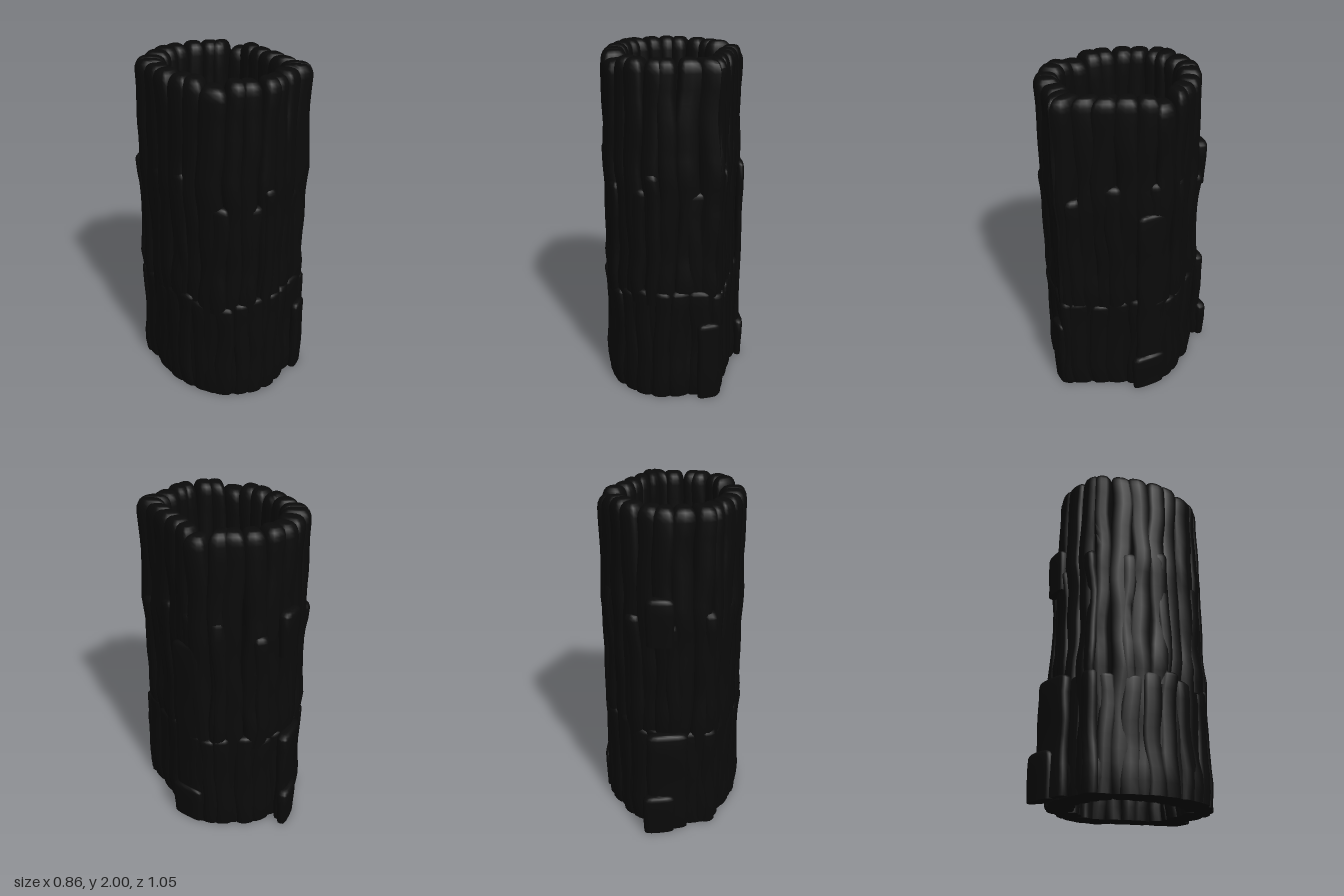
import * as THREE from 'three';
import { toCreasedNormals } from 'three/addons/utils/BufferGeometryUtils.js';

const bark = new THREE.MeshStandardMaterial({ color: 0x0a0a0a });
bark.name = 'charred bark';

// matching points (x, z) round the outer and inner faces of the hollow trunk
const outerPts = [[0, 0.515], [-0.12, 0.49], [-0.22, 0.44], [-0.33, 0.31], [-0.375, 0.19], [-0.405, 0.05],
  [-0.405, -0.1], [-0.4, -0.22], [-0.31, -0.31], [-0.19, -0.39], [-0.06, -0.415], [0.08, -0.4], [0.2, -0.33],
  [0.3, -0.27], [0.37, -0.16], [0.375, -0.02], [0.375, 0.13], [0.38, 0.27], [0.375, 0.39], [0.25, 0.43], [0.12, 0.5]];
const innerPts = [[0.01, 0.36], [-0.07, 0.335], [-0.14, 0.28], [-0.19, 0.21], [-0.23, 0.12], [-0.255, 0.03],
  [-0.255, -0.06], [-0.235, -0.13], [-0.18, -0.18], [-0.12, -0.235], [-0.05, -0.25], [0.04, -0.24], [0.11, -0.21],
  [0.18, -0.18], [0.225, -0.12], [0.225, -0.02], [0.23, 0.08], [0.23, 0.18], [0.225, 0.27], [0.16, 0.29], [0.08, 0.335]];
const loop = pts => new THREE.CatmullRomCurve3(pts.map(([x, z]) => new THREE.Vector3(x, 0, z)), true);
const outer = loop(outerPts), inner = loop(innerPts);

// point at fraction u round the wall and v through it (0 inside, 1 outside)
function wallPoint(u, v) {
  const t = ((u % 1) + 1) % 1;
  return inner.getPoint(t).lerp(outer.getPoint(t), v);
}

let seed = 7;
const rand = () => (seed = (seed * 16807) % 2147483647) / 2147483647;
const soft = (c, p) => Math.sign(c) * Math.pow(Math.abs(c), p);

// loft a closed section from y0 to y1 with a rounded top; place(c, s, y) gives a surface point
function loft(place, y0, y1, dome) {
  const sides = 16, levels = [];
  const steps = Math.max(4, Math.round((y1 - y0) / 0.08));
  for (let j = 0; j <= steps; j++) levels.push([y0 + (y1 - dome - y0) * j / steps, 1]);
  for (const a of [0.4, 0.8, 1.15, 1.4]) levels.push([y1 - dome + dome * Math.sin(a), 0.4 + 0.6 * Math.cos(a)]);
  const pos = [], idx = [];
  const add = (c, s, y) => { const p = place(c, s, y); pos.push(p.x, y, p.z); };
  for (const [y, k] of levels) {
    for (let i = 0; i < sides; i++) {
      const a = i / sides * Math.PI * 2;
      add(k * soft(Math.cos(a), 0.65), k * soft(Math.sin(a), 0.65), y);
    }
  }
  const last = levels.length - 1, bottom = levels.length * sides, top = bottom + 1;
  add(0, 0, y0);
  add(0, 0, y1);
  for (let i = 0; i < sides; i++) {
    const n = (i + 1) % sides;
    for (let j = 0; j < last; j++) {
      const a = j * sides + i, b = j * sides + n;
      idx.push(a, b, a + sides, b, b + sides, a + sides);
    }
    idx.push(bottom, n, i, top, last * sides + i, last * sides + n);
  }
  const geo = new THREE.BufferGeometry();
  geo.setAttribute('position', new THREE.Float32BufferAttribute(pos, 3));
  geo.setIndex(idx);
  return toCreasedNormals(geo, 0.9);
}

// swellings that repeat up the trunk
const swell = y => [0.12, 0.76, 1.38].reduce((sum, c) => sum + Math.exp(-(((y - c) / 0.09) ** 2)), 0);

// a bark strip that follows the wall
function strip(u, halfU, v0, v1, y0, y1, dome) {
  const phase = rand() * 6.28, freq = 5 + rand() * 3, bulge = 0.03 + rand() * 0.06;
  return loft((c, s, y) => {
    const drift = Math.sin(y * freq + phase) * 0.004 + Math.sin(y * 17 + phase * 2) * 0.0015;
    const ripple = Math.sin(y * 13 + phase * 3) * 0.02 + swell(y) * bulge;
    const v = (v0 + v1) / 2 + s * (v1 - v0) / 2;
    return wallPoint(u + drift + c * halfU, v + s * ripple);
  }, y0, y1, dome);
}

// a loose slab whose section runs from a to b
function slab(a, b, half, y0, y1) {
  const ex = (b[0] - a[0]) / 2, ez = (b[1] - a[1]) / 2, len = Math.hypot(ex, ez);
  const phase = rand() * 6.28;
  return loft((c, s, y) => {
    const w = half * s * (1 + 0.12 * Math.sin(y * 14 + phase));
    const l = c * (1 + 0.04 * Math.sin(y * 19 + phase));
    return new THREE.Vector3((a[0] + b[0]) / 2 + ex * l + ez / len * w, 0, (a[1] + b[1]) / 2 + ez * l - ex / len * w);
  }, y0, y1, 0.03);
}

export function createModel() {
  const model = new THREE.Group();
  model.name = 'hollowTrunk';
  const put = (name, geo) => {
    const mesh = new THREE.Mesh(geo, bark);
    mesh.name = name;
    model.add(mesh);
  };

  // full-height strips forming the wall
  const count = 25;
  for (let i = 0; i < count; i++) {
    const u = (i + (rand() - 0.5) * 0.3) / count;
    const drop = rand() < 0.25 ? 0.03 : 0;
    put('wallStrip', strip(u, 0.64 / count, 0.03 + rand() * 0.06, 0.92 + rand() * 0.08, 0.005, 2 - drop, 0.07));
  }

  // shorter outer strips in the lower tier
  for (let i = 0; i < count; i++) {
    const u = (i + 0.5 + (rand() - 0.5) * 0.3) / count;
    put('lowerStrip', strip(u, 0.55 / count, 0.4, 0.98 + rand() * 0.07, 0.005, 0.66 + rand() * 0.05, 0.03));
  }

  // scattered outer strips in the middle tier
  for (let i = 0; i < count; i += 2) {
    const u = (i + 0.5 + rand() * 0.4) / count;
    put('middleStrip', strip(u, 0.42 / count, 0.4, 0.97 + rand() * 0.06, 0.62, 1.28 + rand() * 0.25, 0.04));
  }

  // loose slabs at the foot and the back
  put('backSlab', slab([-0.29, -0.33], [-0.09, -0.47], 0.04, 0.01, 0.69));
  put('backFootSlab', slab([-0.24, -0.4], [-0.085, -0.51], 0.035, 0.005, 0.27));
  put('backUpperSlab', slab([-0.22, -0.37], [-0.08, -0.44], 0.035, 1.25, 1.53));
  put('leftFootSlab', slab([0.33, -0.23], [0.42, -0.04], 0.03, 0.01, 0.27));
  put('leftSlab', slab([0.32, -0.22], [0.395, -0.06], 0.025, 0.2, 1.33));
  put('frontFootSlab', slab([0.38, 0.39], [0.27, 0.455], 0.03, 0.005, 0.5));
  return model;
}
